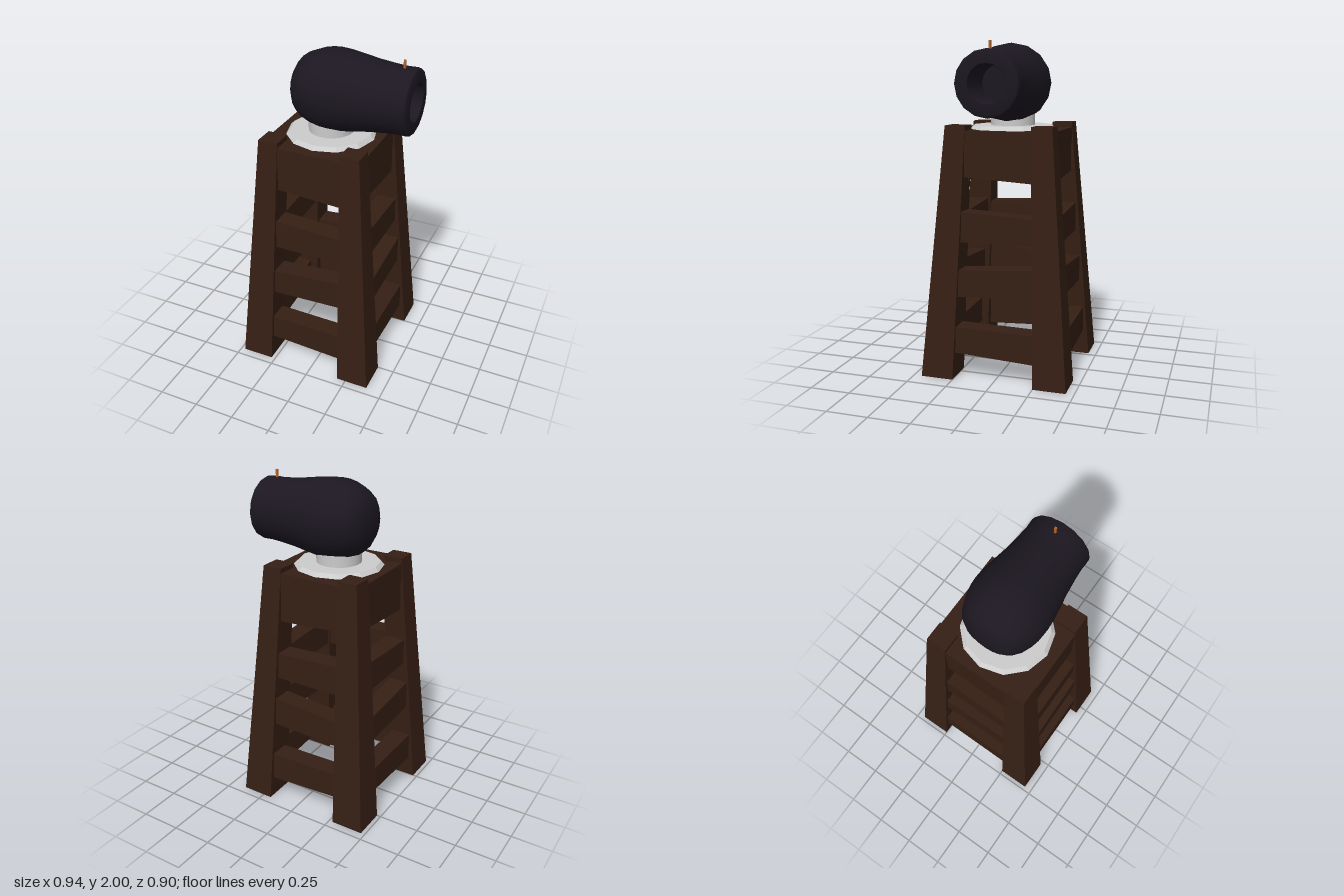
import * as THREE from 'three';
import { toCreasedNormals } from 'three/addons/utils/BufferGeometryUtils.js';

const CX = -0.04; // tower axis
const TOP = 1.52;

export function createModel() {
  const model = new THREE.Group();
  const wood = new THREE.MeshStandardMaterial({ color: 0x351f14, flatShading: true });
  const iron = new THREE.MeshStandardMaterial({ color: 0x1c1720 });
  const grey = new THREE.MeshStandardMaterial({ color: 0xcccccc, flatShading: true });
  const greySmooth = new THREE.MeshStandardMaterial({ color: 0xcccccc });
  const copper = new THREE.MeshStandardMaterial({ color: 0xb0642a });

  const add = (name, geometry, material, x = 0, y = 0, z = 0, parent = model) => {
    const mesh = new THREE.Mesh(geometry, material);
    mesh.name = name;
    mesh.position.set(x, y, z);
    parent.add(mesh);
    return mesh;
  };
  const mix = THREE.MathUtils.lerp;

  // Half extents of the tower's outer faces and of the gap between legs
  const outerX = y => mix(0.435, 0.31, y / TOP);
  const outerZ = y => mix(0.45, 0.325, y / TOP);
  const innerX = y => mix(0.235, 0.19, y / TOP);
  const innerZ = y => mix(0.25, 0.2, y / TOP);

  // Four tapering, leaning legs
  for (const sx of [-1, 1]) for (const sz of [-1, 1]) {
    const geo = new THREE.BoxGeometry(1, TOP, 1);
    const p = geo.attributes.position;
    for (let i = 0; i < p.count; i++) {
      const y = p.getY(i) + TOP / 2;
      p.setXYZ(i,
        sx * (p.getX(i) * sx > 0 ? outerX(y) : innerX(y)), y,
        sz * (p.getZ(i) * sz > 0 ? outerZ(y) : innerZ(y)));
    }
    geo.computeVertexNormals();
    add('leg', geo, wood, CX);
  }

  // Crooked cross planks: bottom and top heights at the two ends
  const planks = [
    [0.16, 0.13, 0.32, 0.31],
    [0.50, 0.52, 0.66, 0.70],
    [0.83, 0.83, 1.015, 0.99],
    [1.22, 1.19, 1.39, 1.39],
  ];
  const plankGeometry = (halfLength, [b0, b1, t0, t1]) => {
    const geo = new THREE.BoxGeometry(2 * halfLength, 1, 0.12);
    const p = geo.attributes.position;
    for (let i = 0; i < p.count; i++) {
      const start = p.getX(i) < 0;
      p.setY(i, p.getY(i) < 0 ? (start ? b0 : b1) : (start ? t0 : t1));
    }
    geo.computeVertexNormals();
    return geo;
  };
  for (const heights of planks) {
    const mid = (heights[0] + heights[2]) / 2;
    for (const s of [-1, 1]) {
      add('crossPlank', plankGeometry(innerX(mid) + 0.04, heights), wood,
        CX, 0, s * (outerZ(mid) - 0.08));
      const side = add('sidePlank', plankGeometry(innerZ(mid) + 0.04, heights), wood,
        CX + s * (outerX(mid) - 0.08), 0, 0);
      side.rotation.y = s * Math.PI / 2;
    }
  }

  // Deck set between the leg tops
  add('platform', new THREE.BoxGeometry(0.622, 0.11, 0.652), wood, CX, 1.435, 0);

  // Turntable with bevelled rim, and pedestal
  const plate = new THREE.CylinderGeometry(0.245, 0.268, 0.022, 12);
  plate.rotateY(Math.PI / 2);
  add('turntable', plate, grey, CX, 1.501, 0);
  add('pedestal', new THREE.CylinderGeometry(0.135, 0.135, 0.14, 24), greySmooth, CX, 1.575, 0);

  // Barrel with rounded breech, flared lip and hollow bore, along +x
  const profile = [
    [0, -0.258], [0.06, -0.256], [0.12, -0.243], [0.165, -0.215], [0.198, -0.17],
    [0.222, -0.11], [0.233, -0.06], [0.236, -0.01], [0.232, 0.05], [0.22, 0.13],
    [0.205, 0.22], [0.195, 0.31], [0.189, 0.39], [0.191, 0.445], [0.187, 0.462],
    [0.172, 0.47], [0.112, 0.47], [0.108, 0.46], [0.108, 0.22], [0, 0.22],
  ].map(([r, h]) => new THREE.Vector2(r, h));
  const barrel = toCreasedNormals(new THREE.LatheGeometry(profile, 16), 0.75);
  barrel.rotateZ(-Math.PI / 2);
  add('barrel', barrel, iron, 0, 1.765, 0);

  // Fuse near the muzzle
  add('fuse', new THREE.BoxGeometry(0.012, 0.06, 0.012), copper, 0.392, 1.97, 0);

  return model;
}
